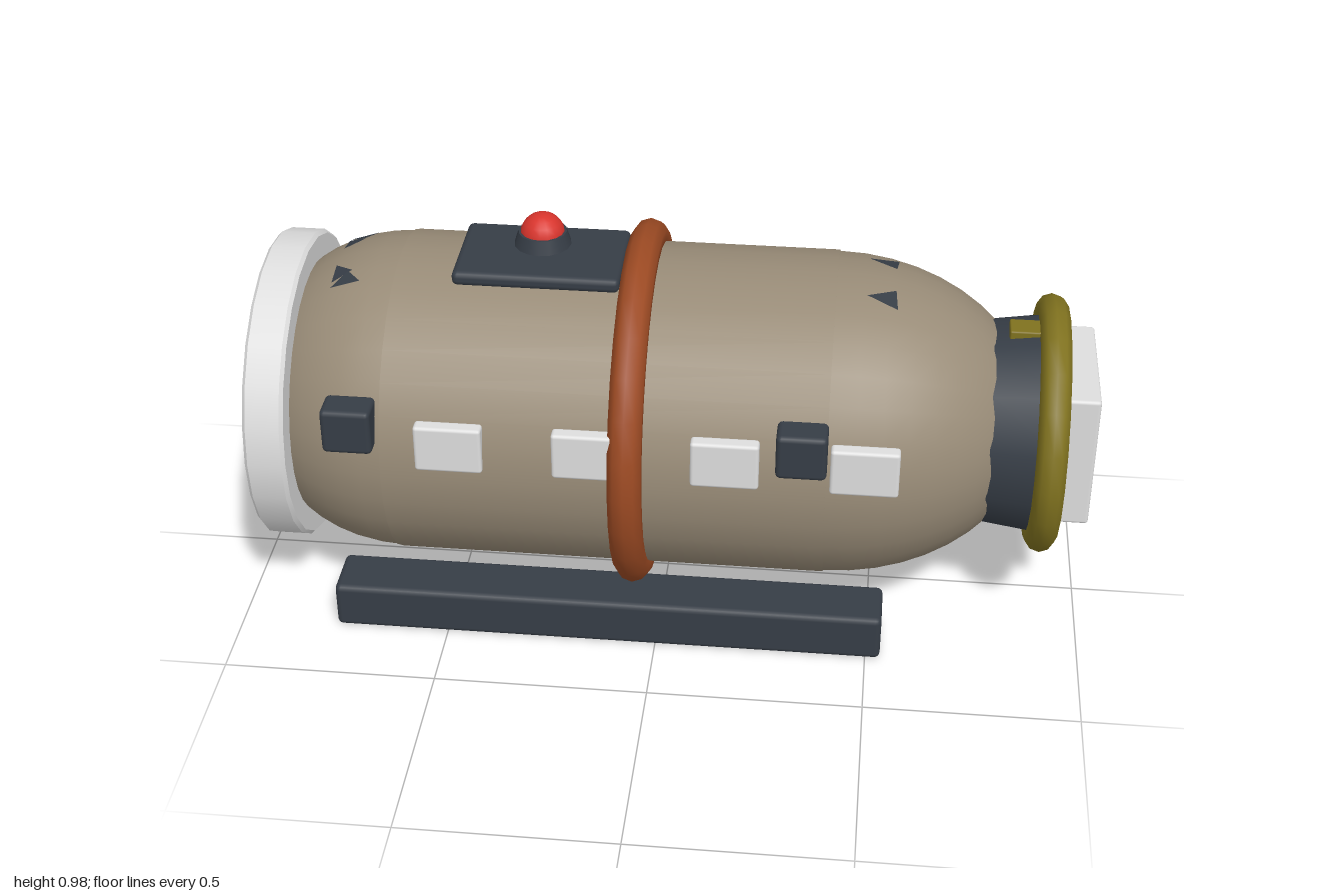
import * as THREE from 'three';
import { RoundedBoxGeometry } from 'three/addons/geometries/RoundedBoxGeometry.js';

const AXIS_Y = 0.485; // height of the hull's long axis

const material = (name, color) => {
  const m = new THREE.MeshStandardMaterial({ color });
  m.name = name;
  return m;
};

export function createModel() {
  const model = new THREE.Group();
  model.name = 'capsule';
  const tan = material('hullTan', 0x988b77);
  const dark = material('darkSteel', 0x363d46);
  const white = material('paleGrey', 0xdedede);
  const rust = material('rustOrange', 0x9c4a23);
  const olive = material('oliveYellow', 0x80721f);
  const red = material('beaconRed', 0xd8342c);
  const patchDark = dark.clone();
  patchDark.name = 'darkSteelPatch';
  patchDark.side = THREE.DoubleSide;

  const add = (name, geometry, mat) => {
    const mesh = new THREE.Mesh(geometry, mat);
    mesh.name = name;
    model.add(mesh);
    return mesh;
  };
  // Rounded box given by its limits
  const box = (name, mat, [x0, x1], [y0, y1], [z0, z1], r = 0.008) =>
    add(name, new RoundedBoxGeometry(x1 - x0, y1 - y0, z1 - z0, 2, r), mat)
      .position.set((x0 + x1) / 2, (y0 + y1) / 2, (z0 + z1) / 2);
  // Surface of revolution round the long axis; points are [x, radius]
  const turned = (name, mat, points, sides, phase = 0) => {
    const g = new THREE.LatheGeometry(points.map(([x, r]) => new THREE.Vector2(r, x)), sides, phase);
    g.rotateZ(-Math.PI / 2);
    add(name, g, mat).position.y = AXIS_Y;
  };
  const ring = (name, mat, x, radius, tube, sides) => {
    const g = new THREE.TorusGeometry(radius, tube, 10, sides);
    g.rotateY(Math.PI / 2);
    add(name, g, mat).position.set(x, AXIS_Y, 0);
  };

  // Hull: barrel with a round tail and a longer nose
  const R = 0.38, tailX = -0.62, noseX = 0.39, noseLength = 0.478;
  const tail = [], nose = [];
  for (let i = 0; i <= 12; i++) {
    const a = (i / 12) * Math.PI / 2;
    tail.push([tailX - R * Math.cos(a), R * Math.sin(a)]);
    nose.push([noseX + noseLength * Math.sin(a), Math.max(0, R * Math.cos(a))]);
  }
  turned('tailDome', tan, tail, 32);
  turned('barrel', tan, [[tailX, R - 0.01], [tailX, R + 0.003], [noseX, R + 0.003], [noseX, R - 0.01]], 32);
  turned('noseDome', tan, nose, 32);

  // Tail band: flat-faced ring that the dome pokes through
  const bandProfile = [
    [-0.94, 0.16], [-0.94, 0.16], [-0.94, 0.362], [-0.94, 0.362], [-0.932, 0.37], [-0.932, 0.37],
    [-0.853, 0.37], [-0.853, 0.37], [-0.845, 0.362], [-0.845, 0.362], [-0.845, 0.28],
  ];
  for (let i = 0; i < bandProfile.length - 1; i++) {
    const [p, q] = [bandProfile[i], bandProfile[i + 1]];
    if (p[0] !== q[0] || p[1] !== q[1]) turned('tailBand', white, [p, q], 24);
  }

  // Docking collar, ring and hatch
  const collar = new THREE.CylinderGeometry(0.268, 0.245, 0.165, 12);
  collar.rotateY(Math.PI / 12);
  collar.rotateZ(-Math.PI / 2);
  add('dockingCollar', collar, dark).position.set(0.8375, AXIS_Y, 0);
  ring('dockingRing', olive, 0.893, 0.27, 0.036, 20);
  box('hatch', white, [0.9, 1], [0.317, 0.655], [-0.169, 0.169]);
  box('dockingLatch', olive, [0.79, 0.87], [0.7, 0.746], [-0.03, 0.03], 0.004);

  // Middle hoop
  ring('middleHoop', rust, -0.06, 0.395, 0.04, 28);

  // Skids and side clamps, both sides
  for (const s of [1, -1]) {
    const span = (a, b) => (s > 0 ? [a, b] : [-b, -a]);
    box('skid', dark, [-0.77, 0.535], [0, 0.115], span(0.187, 0.325), 0.014);
    for (const x of [-0.687, 0.335])
      box('sideClamp', dark, [x - 0.057, x + 0.057], [0.557, 0.668], span(0.325, 0.405), 0.012);
  }

  // Windows along the front
  for (const x of [-0.46, -0.148, 0.164, 0.476])
    box('window', white, [x - 0.077, x + 0.077], [0.514, 0.63], [0.355, 0.391]);

  // Roof panel and beacon
  box('roofPanel', dark, [-0.485, -0.1], [0.845, 0.88], [-0.125, 0.125], 0.014);
  add('beaconBase', new THREE.CylinderGeometry(0.056, 0.066, 0.032, 16), dark).position.set(-0.29, 0.918, 0);
  add('beacon', new THREE.SphereGeometry(0.052, 16, 10), red).position.set(-0.29, 0.925, 0);

  // Small dark roof patches laid on the domes; corners are [x, z]
  const roofY = (x, z) => {
    const t = x < 0 ? (x - tailX) / R : (x - noseX) / noseLength;
    return AXIS_Y + Math.sqrt(R * R * (1 - t * t) - z * z) + 0.004;
  };
  const patches = [
    [[-0.77, 0.115], [-0.70, 0.115], [-0.735, 0.075]],
    [[-0.77, 0.04], [-0.77, 0.10], [-0.725, 0.075]],
    [[0.46, 0.085], [0.53, 0.11], [0.525, 0.05]],
  ];
  for (const s of [1, -1]) for (const patch of patches) {
    const corners = patch.map(([x, z]) => new THREE.Vector3(x, roofY(x, z), s * z));
    if (s < 0) corners.reverse();
    const g = new THREE.BufferGeometry().setFromPoints(corners);
    g.computeVertexNormals();
    // Keep the lit side facing up
    if (g.attributes.normal.getY(0) < 0) {
      g.setFromPoints(corners.reverse());
      g.computeVertexNormals();
    }
    add('roofPatch', g, patchDark);
  }
  return model;
}
